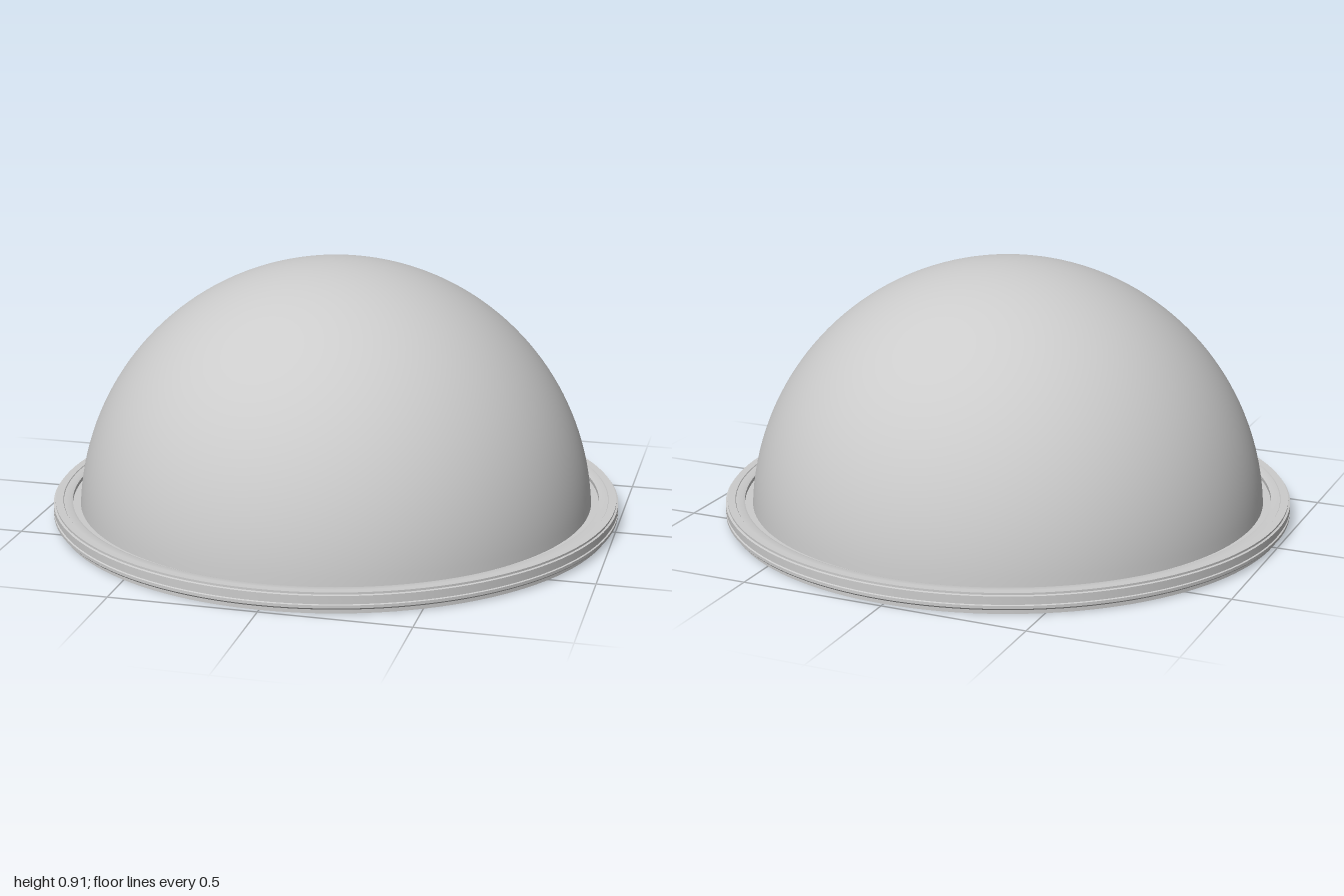
import * as THREE from 'three';
import { toCreasedNormals } from 'three/addons/utils/BufferGeometryUtils.js';

const SEGMENTS = 128;
const material = new THREE.MeshStandardMaterial({ color: 0xcccccc });

// Revolve a closed (radius, height) profile, keeping its steps crisp
function revolve(name, profile) {
  const points = profile.map(([r, y]) => new THREE.Vector2(r, y));
  const geometry = toCreasedNormals(new THREE.LatheGeometry(points, SEGMENTS), Math.PI / 6);
  const mesh = new THREE.Mesh(geometry, material);
  mesh.name = name;
  return mesh;
}

// Arc of the dome from height y0 up to the pole
function domeArc(radius, y0, steps = 40) {
  const start = Math.asin(y0 / radius);
  return Array.from({ length: steps + 1 }, (_, i) => {
    const a = start + (Math.PI / 2 - start) * (i / steps);
    return [i === steps ? 0 : radius * Math.cos(a), radius * Math.sin(a)];
  });
}

export function createModel() {
  const group = new THREE.Group();
  group.name = 'domeWithRim';

  // Thin hemispherical shell: outer arc up, inner arc back down, closed at the lip
  const outer = domeArc(0.907, 0.055);
  const inner = domeArc(0.897, 0.055).reverse();
  group.add(revolve('domeShell', [...outer, ...inner, outer[0]]));

  // Stepped mounting ring with a recessed seat around the dome
  group.add(revolve('rim', [
    [0.895, 0], [0.982, 0], [0.982, 0.014], [0.994, 0.018],
    [1.0, 0.024], [1.0, 0.034], [0.995, 0.036], [0.995, 0.042],
    [1.0, 0.044], [1.0, 0.066], [0.993, 0.068], [0.993, 0.075],
    [0.966, 0.075], [0.964, 0.072], [0.941, 0.072], [0.933, 0.069],
    [0.933, 0.056], [0.895, 0.056], [0.895, 0],
  ]));

  return group;
}
